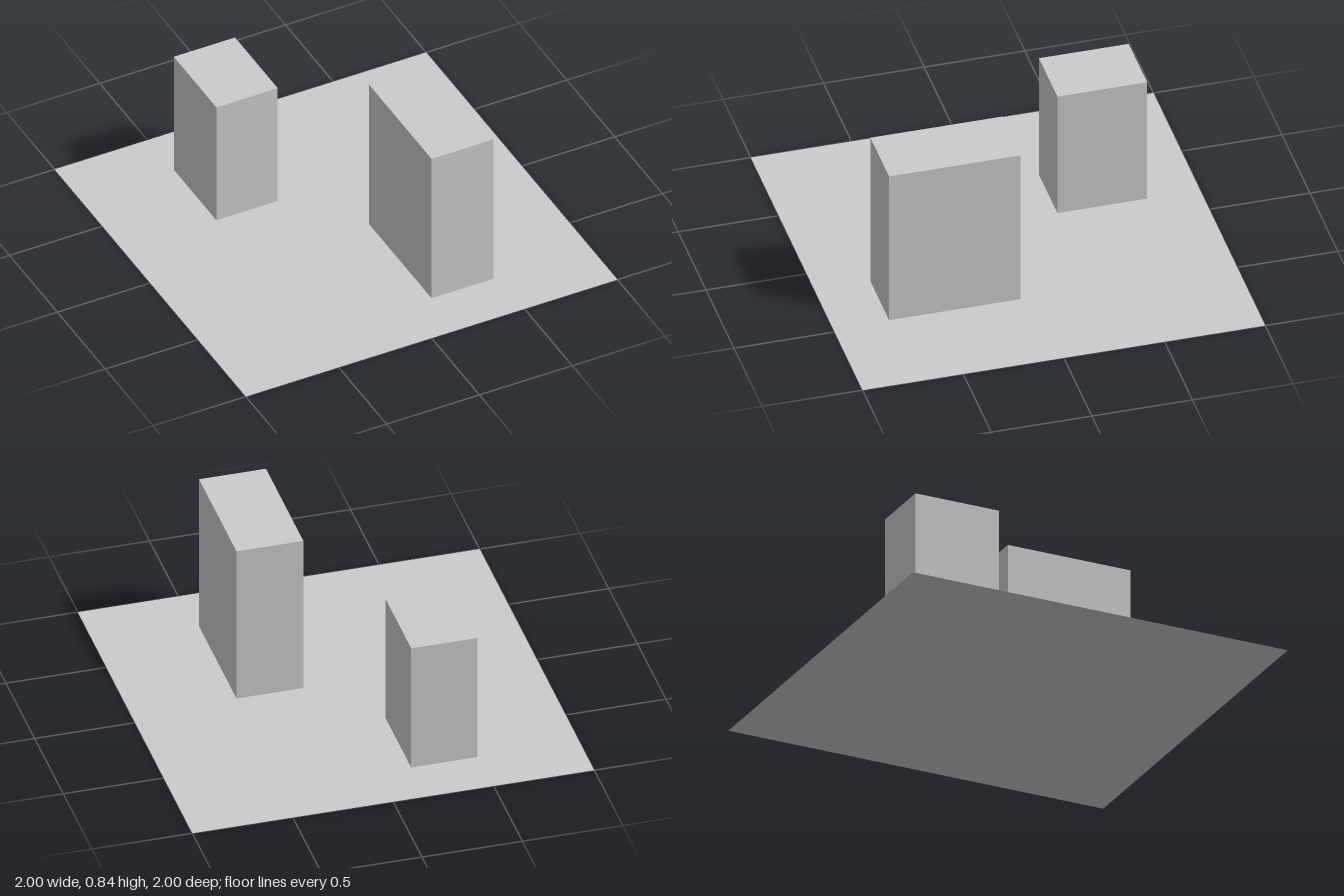
import * as THREE from 'three';

export function createModel() {
  const group = new THREE.Group();
  const solid = new THREE.MeshStandardMaterial({ color: 0xcccccc, flatShading: true });
  const sheet = new THREE.MeshStandardMaterial({ color: 0xcccccc, side: THREE.DoubleSide });

  // flat square base
  const base = new THREE.Mesh(new THREE.PlaneGeometry(2, 2).rotateX(-Math.PI / 2), sheet);
  base.name = 'basePlane';
  group.add(base);

  // upright block standing on the base
  const addBlock = (name, width, height, depth, x, z) => {
    const block = new THREE.Mesh(new THREE.BoxGeometry(width, height, depth), solid);
    block.name = name;
    block.position.set(x, height / 2, z);
    group.add(block);
  };
  addBlock('tallBlock', 0.333, 0.843, 0.653, 0.309, 0.396);
  addBlock('shortBlock', 0.33, 0.683, 0.446, -0.329, -0.514);

  return group;
}
